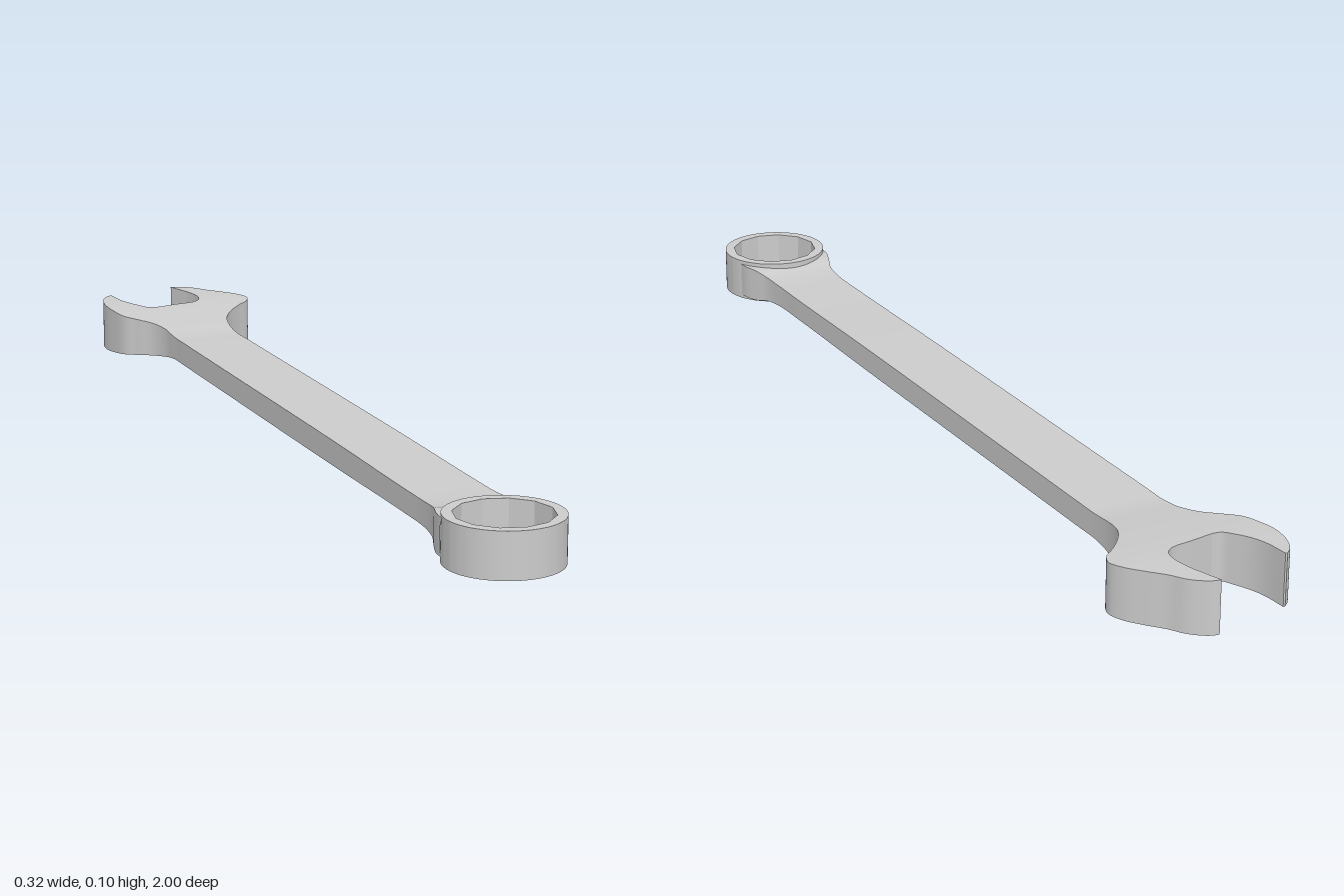
import * as THREE from 'three';
import { toCreasedNormals } from 'three/addons/utils/BufferGeometryUtils.js';

const CX = -0.016;           // long axis of handle and ring
const CY = 0.0515;           // middle of the thickness
const RING_Z = 0.892, RING_R = 0.107;

// Smooth edge line through a few [x, z] points, sorted by z
function edge(points, samples = 48) {
  const curve = new THREE.CatmullRomCurve3(points.map(([x, z]) => new THREE.Vector3(x, 0, z)), false, 'centripetal');
  return curve.getPoints(samples).map(p => [p.x, p.z]).sort((a, b) => a[1] - b[1]);
}

// x of an edge at a given z
function at(line, z) {
  if (z <= line[0][1]) return line[0][0];
  for (let i = 1; i < line.length; i++) {
    const [x0, z0] = line[i - 1], [x1, z1] = line[i];
    if (z <= z1) return z1 === z0 ? x1 : x0 + (x1 - x0) * (z - z0) / (z1 - z0);
  }
  return line[line.length - 1][0];
}

// Half thickness along the wrench
const thickness = edge([
  [0.051, -1], [0.049, -0.87], [0.043, -0.79], [0.033, -0.7], [0.0245, -0.63],
  [0.024, -0.55], [0.024, 0.3], [0.022, 0.6], [0.023, 0.72], [0.027, 0.765], [0.034, 0.8], [0.035, 0.86],
], 120);

// Slab between two edges over a z range; top, sides and bottom keep sharp borders
function slab(name, left, right, zMin, zMax, material, capTip = false) {
  const zs = [...left, ...right].map(p => p[1]).concat(thickness.map(p => p[1]), zMin, zMax)
    .filter(z => z >= zMin && z <= zMax).sort((a, b) => a - b)
    .filter((z, i, all) => i === 0 || z - all[i - 1] > 1e-6);
  const rings = zs.map(z => {
    const x0 = at(left, z), x1 = at(right, z), h = at(thickness, z);
    return [[x0, CY + h, z], [x1, CY + h, z], [x1, CY - h, z], [x0, CY - h, z]];
  });
  const pos = [], index = [];
  for (let k = 0; k < 4; k++) {
    const base = pos.length / 3;
    rings.forEach((r, i) => {
      pos.push(...r[k], ...r[(k + 1) % 4]);
      if (i < rings.length - 1) {
        const a = base + i * 2;
        index.push(a, a + 2, a + 1, a + 1, a + 2, a + 3);
      }
    });
  }
  if (capTip) {
    const base = pos.length / 3;
    rings[0].forEach(c => pos.push(...c));
    index.push(base, base + 1, base + 2, base, base + 2, base + 3);
  }
  const geometry = new THREE.BufferGeometry();
  geometry.setAttribute('position', new THREE.Float32BufferAttribute(pos, 3));
  geometry.setIndex(index);
  geometry.computeVertexNormals();
  const mesh = new THREE.Mesh(geometry, material);
  mesh.name = name;
  return mesh;
}

export function createModel() {
  const group = new THREE.Group();
  group.name = 'combinationWrench';
  const material = new THREE.MeshStandardMaterial({ color: 0xcccccc });

  // Outer edges: flare into the ring, straight handle, curved open head
  const flare = side => [[0.099, 0.855], [0.097, 0.83], [0.087, 0.797], [0.076, 0.765], [0.071, 0.72], [0.07, 0.6]]
    .map(([x, z]) => [CX + side * x, z]);
  const outerRight = edge([...flare(-1), [-0.087, -0.55], [-0.087, -0.64], [-0.089, -0.68], [-0.102, -0.72],
    [-0.128, -0.755], [-0.15, -0.785], [-0.16, -0.83], [-0.163, -0.87], [-0.156, -0.915], [-0.14, -0.95],
    [-0.126, -0.963]], 200);
  const outerLeft = edge([...flare(1), [0.053, -0.55], [0.053, -0.64], [0.056, -0.68], [0.066, -0.722],
    [0.088, -0.76], [0.12, -0.797], [0.148, -0.823], [0.159, -0.85], [0.15, -0.878], [0.124, -0.913],
    [0.098, -0.943], [0.077, -0.974], [0.05, -0.995], [0.034, -1]], 200);

  // Slanted jaw opening
  const floorZ = -0.83;
  const jawRight = edge([[-0.061, floorZ], [-0.077, -0.834], [-0.092, -0.855], [-0.108, -0.885],
    [-0.117, -0.915], [-0.122, -0.963]]);
  const jawLeft = edge([[-0.061, floorZ], [-0.013, -0.8395], [0.034, -0.849], [0.05, -0.865], [0.056, -0.892],
    [0.05, -0.935], [0.04, -0.968], [0.03, -1]]);

  // Seat of the ring, kept inside its wall
  const seat = side => Array.from({ length: 17 }, (_, i) => {
    const t = i / 16 * 1.13;
    return [CX + side * 0.098 * Math.sin(t), RING_Z - 0.098 * Math.cos(t)];
  });
  const seatZ = RING_Z - 0.098;

  group.add(
    slab('handle', outerRight, outerLeft, floorZ, seatZ, material),
    slab('rightJaw', outerRight, jawRight, -0.963, floorZ, material, true),
    slab('leftJaw', jawLeft, outerLeft, -1, floorZ, material, true),
    slab('rightRingFillet', outerRight, seat(-1), seatZ, 0.85, material),
    slab('leftRingFillet', seat(1), outerLeft, seatZ, 0.85, material),
  );

  // Box end: round outside, twelve flats inside
  const outline = new THREE.Shape().absarc(0, 0, RING_R, 0, Math.PI * 2);
  const flats = Array.from({ length: 12 }, (_, i) => {
    const a = -i / 12 * Math.PI * 2;
    return new THREE.Vector2(0.089 * Math.cos(a), 0.089 * Math.sin(a));
  });
  outline.holes.push(new THREE.Path(flats));
  const depth = 0.086;
  const ringGeometry = new THREE.ExtrudeGeometry(outline, { depth, bevelEnabled: false, curveSegments: 48 });
  ringGeometry.translate(0, 0, -depth / 2).rotateX(-Math.PI / 2);
  const ring = new THREE.Mesh(toCreasedNormals(ringGeometry, 0.4), material);
  ring.name = 'boxEndRing';
  ring.position.set(CX, CY, RING_Z);
  group.add(ring);

  return group;
}
